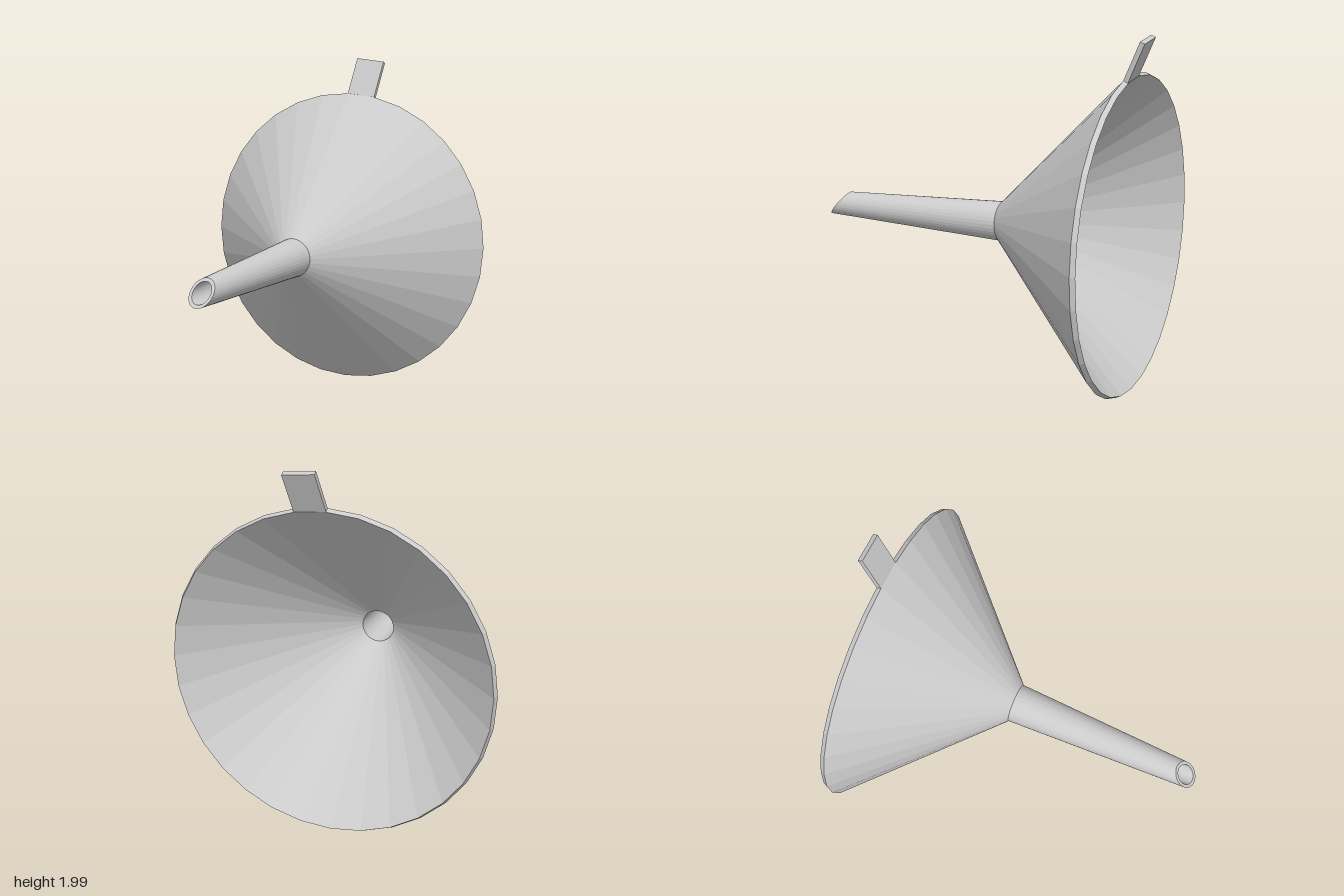
import * as THREE from 'three';

const SIDES = 32;
const AXIS_HEIGHT = 0.9;

// Revolve [radius, z] pairs around the z axis.
function revolve(profile) {
  const points = profile.map(([r, z]) => new THREE.Vector2(r, z));
  return new THREE.LatheGeometry(points, SIDES).rotateX(Math.PI / 2);
}

export function createModel() {
  const group = new THREE.Group();
  const material = new THREE.MeshStandardMaterial({
    color: 0xcccccc, flatShading: true, side: THREE.DoubleSide,
  });
  const add = (name, geometry) => {
    const mesh = new THREE.Mesh(geometry, material);
    mesh.name = name;
    mesh.position.y = AXIS_HEIGHT;
    group.add(mesh);
    return mesh;
  };

  // Wide cone: inner wall, slanted rim, outer wall
  add('cone', revolve([[0.09, -0.128], [0.877, -0.902], [0.89, -0.875], [0.112, -0.11]]));

  // Tapered hollow spout, its tip cut at a slant
  const spout = revolve([[0.112, -0.11], [0.07, 0.94], [0.053, 0.94], [0.09, -0.128]]);
  const pos = spout.attributes.position;
  for (let i = 0; i < pos.count; i++) {
    if (pos.getZ(i) > 0.5) pos.setZ(i, 0.94 - 0.857 * pos.getY(i));
  }
  spout.computeVertexNormals();
  add('spout', spout);

  // Tab leaning back from one facet of the rim; profile is [-z, radius]
  const width = 0.174;
  const profile = [[0.9, 0.874], [0.994, 1.085], [0.968, 1.096], [0.875, 0.886]];
  const shape = new THREE.Shape(profile.map(([x, y]) => new THREE.Vector2(x, y)));
  const tab = new THREE.ExtrudeGeometry(shape, { depth: width, bevelEnabled: false })
    .translate(0, 0, -width / 2)
    .rotateY(Math.PI / 2);
  add('hangingTab', tab).rotation.z = -Math.PI / SIDES;

  return group;
}
